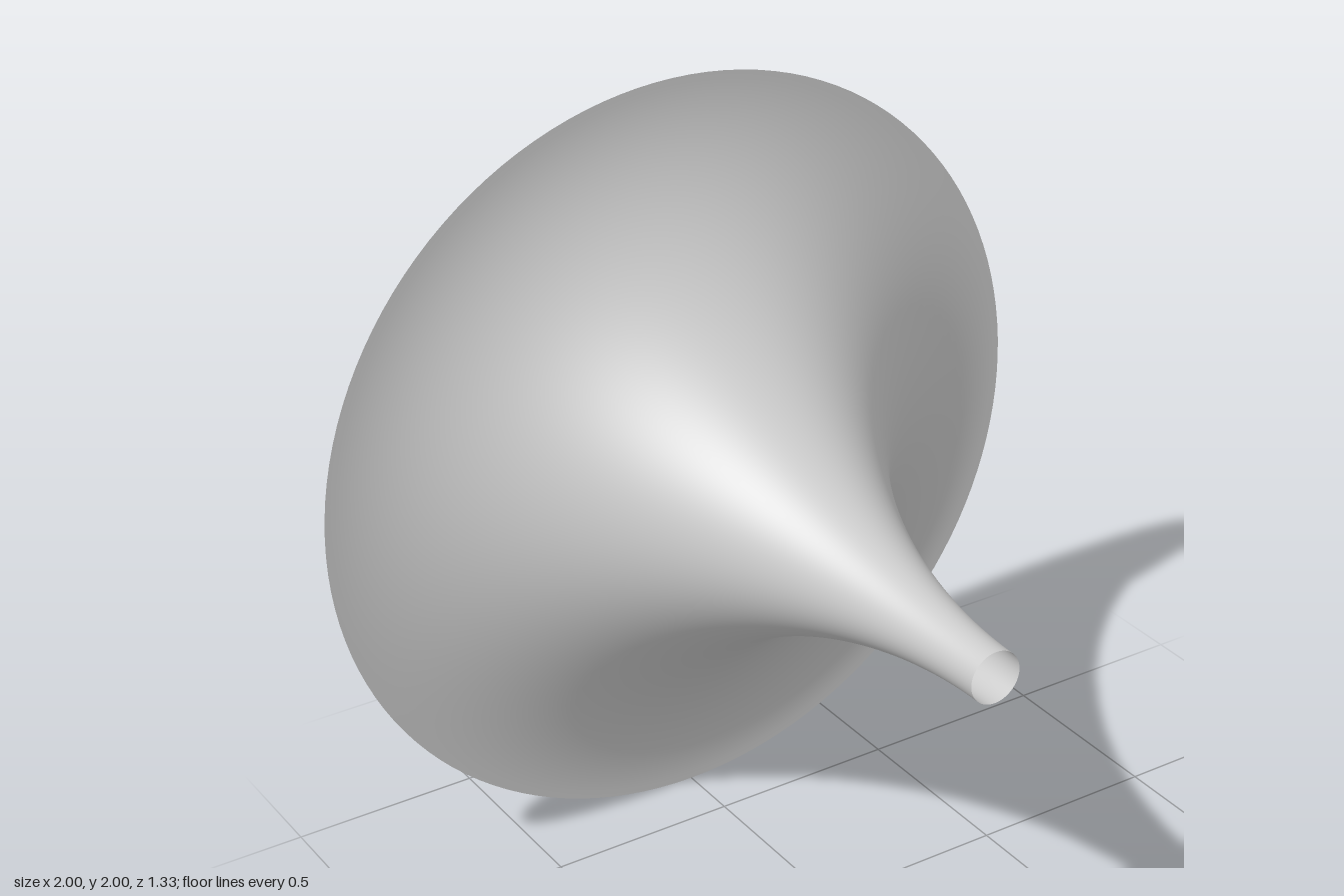
import * as THREE from 'three';

export function createModel() {
  const group = new THREE.Group();
  const grey = new THREE.MeshStandardMaterial({ color: 0xcccccc, side: THREE.DoubleSide });
  grey.name = 'light grey';

  // Flare profile (radius, height along axis): flat at the mouth, parallel to the axis at the neck
  const mouth = 1, neck = 0.067, half = 0.667, handle = 0.51;
  const profile = new THREE.CubicBezierCurve(
    new THREE.Vector2(mouth, -half),
    new THREE.Vector2(mouth - (mouth - neck) * handle, -half),
    new THREE.Vector2(neck, half - 2 * half * handle),
    new THREE.Vector2(neck, half)
  );

  // Thin open horn, neck to the front and wide mouth to the back
  const geometry = new THREE.LatheGeometry(profile.getPoints(64), 128);
  geometry.rotateX(Math.PI / 2);
  const horn = new THREE.Mesh(geometry, grey);
  horn.name = 'hornBell';
  horn.position.y = 1;
  group.add(horn);
  return group;
}
